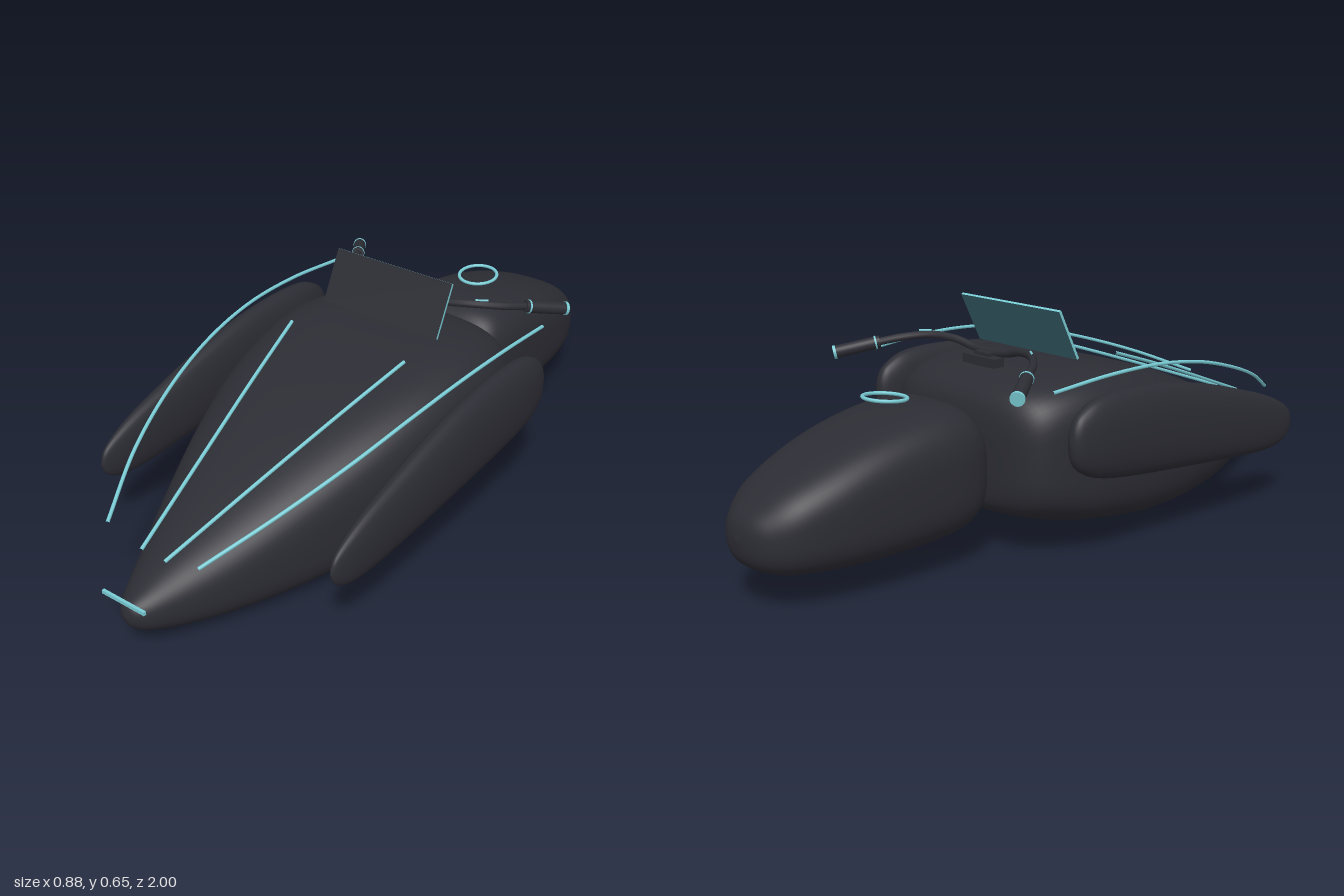
import * as THREE from 'three';
import { mergeVertices } from 'three/addons/utils/BufferGeometryUtils.js';

const paint = (name, color) => Object.assign(new THREE.MeshStandardMaterial({ color }), { name });
const v = (p) => new THREE.Vector3(...p);

// Smooth body skinned over stations [z, halfWidth, bottom, top, squareness], listed back to front
function loft(stations, rows = 72, sides = 56) {
  const spline = (f) => new THREE.CatmullRomCurve3(stations.map((s) => v(f(s))), false, 'catmullrom', 0.5);
  const plan = spline(([z, w, , , n]) => [w, n, z]);
  const profile = spline(([z, , b, t]) => [b, t, z]);
  const pos = [], index = [];
  const bend = (c, n) => Math.sign(c) * Math.abs(c) ** (2 / n);
  for (let i = 0; i <= rows; i++) {
    const a = plan.getPoint(i / rows), b = profile.getPoint(i / rows);
    const mid = (b.x + b.y) / 2, half = Math.max(0, (b.y - b.x) / 2);
    for (let j = 0; j < sides; j++) {
      const t = (j / sides) * Math.PI * 2;
      pos.push(bend(Math.cos(t), a.y) * Math.max(0, a.x), mid + bend(Math.sin(t), a.y) * half, a.z);
      if (i === rows) continue;
      const p = i * sides + j, q = i * sides + (j + 1) % sides;
      index.push(p, q, p + sides, q, q + sides, p + sides);
    }
  }
  const g = new THREE.BufferGeometry();
  g.setAttribute('position', new THREE.Float32BufferAttribute(pos, 3));
  g.setIndex(index);
  const merged = mergeVertices(g, 1e-5);
  merged.computeVertexNormals();
  return merged;
}

const tube = (points, r, segments = 40) =>
  new THREE.TubeGeometry(new THREE.CatmullRomCurve3(points.map(v)), segments, r, 10);

export function createModel() {
  const model = new THREE.Group();
  model.name = 'hoverBike';
  const dark = paint('charcoal', 0x2c2c34);
  const teal = paint('teal', 0x79cbd4);
  const glass = paint('darkTeal', 0x3a6672);

  const add = (name, geometry, material, parent = model) => {
    const mesh = new THREE.Mesh(geometry, material);
    mesh.name = name;
    parent.add(mesh);
    return mesh;
  };

  // Main hull
  add('hull', loft([
    [-0.312, 0, 0.28, 0.28, 3], [-0.308, 0.17, 0.17, 0.39, 3], [-0.285, 0.26, 0.125, 0.445, 3.4],
    [-0.23, 0.312, 0.1, 0.477, 3.8], [-0.12, 0.342, 0.073, 0.497, 4.2], [0, 0.35, 0.052, 0.5, 4.2],
    [0.15, 0.342, 0.03, 0.475, 4.1], [0.3, 0.315, 0.016, 0.435, 3.8], [0.45, 0.273, 0.007, 0.383, 3.4],
    [0.6, 0.22, 0.003, 0.322, 3], [0.75, 0.158, 0.012, 0.256, 2.6], [0.87, 0.1, 0.032, 0.205, 2.3],
    [0.95, 0.058, 0.062, 0.17, 2.2], [0.985, 0.03, 0.088, 0.15, 2], [0.997, 0, 0.12, 0.12, 2],
  ]), dark);

  // Rear seat
  add('seat', loft([
    [-1, 0, 0.19, 0.19, 2.4], [-0.99, 0.055, 0.14, 0.235, 2.4], [-0.96, 0.1, 0.108, 0.268, 2.6],
    [-0.9, 0.143, 0.088, 0.312, 2.8], [-0.8, 0.174, 0.079, 0.358, 3], [-0.68, 0.19, 0.075, 0.4, 3.2],
    [-0.55, 0.199, 0.076, 0.43, 3.2], [-0.44, 0.199, 0.083, 0.441, 3.2], [-0.37, 0.185, 0.102, 0.425, 3.2],
    [-0.33, 0.155, 0.14, 0.38, 3], [-0.317, 0.1, 0.2, 0.32, 2.6], [-0.315, 0, 0.26, 0.26, 2.4],
  ]), dark);

  // Seat ring
  const ring = add('seatRing', new THREE.TorusGeometry(0.058, 0.005, 10, 40), teal);
  ring.position.set(0, 0.462, -0.54);
  ring.rotation.x = -Math.PI / 2 + 0.09;

  // Windscreen: dark front, tinted back, bright rim
  const screen = add('windscreen', new THREE.BoxGeometry(0.394, 0.157, 0.008),
    [teal, teal, teal, teal, dark, glass]);
  screen.position.set(0, 0.585, -0.065);
  screen.rotation.x = -Math.atan(0.5);

  // Nose light bar
  add('noseBar', new THREE.BoxGeometry(0.144, 0.01, 0.008), teal).position.set(0, 0.17, 0.996);

  // Handlebar and its clamp
  const half = [[0.06, 0.53, -0.174], [0.13, 0.546, -0.186], [0.2, 0.551, -0.212],
    [0.26, 0.543, -0.262], [0.31, 0.528, -0.335], [0.36, 0.51, -0.405]];
  const mirror = (pts, s) => pts.map(([x, y, z]) => [s * x, y, z]);
  add('handlebar', tube([...mirror(half, -1).reverse(), [0, 0.526, -0.172], ...half], 0.011, 80), dark);
  add('handlebarClamp', new THREE.BoxGeometry(0.13, 0.025, 0.035), dark).position.set(0, 0.508, -0.2);
  add('handlebarStem', new THREE.BoxGeometry(0.06, 0.04, 0.05), dark).position.set(0, 0.51, -0.18);

  const podShape = loft([
    [-0.262, 0, 0.36, 0.36, 2.2], [-0.252, 0.018, 0.31, 0.405, 2.3], [-0.225, 0.031, 0.278, 0.437, 2.3],
    [-0.16, 0.042, 0.25, 0.465, 2.3], [-0.04, 0.046, 0.23, 0.472, 2.3], [0.12, 0.046, 0.214, 0.46, 2.3],
    [0.28, 0.044, 0.199, 0.428, 2.3], [0.43, 0.038, 0.186, 0.387, 2.3], [0.55, 0.031, 0.179, 0.35, 2.3],
    [0.63, 0.022, 0.186, 0.315, 2.3], [0.675, 0.012, 0.21, 0.284, 2.2], [0.692, 0, 0.247, 0.247, 2],
  ], 60, 32);

  for (const [side, s] of [['left', 1], ['right', -1]]) {
    // Side pod
    add(side + 'Pod', podShape, dark).position.x = s * 0.395;

    // Light strips over the deck and along the flank
    add(side + 'DeckStrip', tube(mirror([[0.04, 0.245, 0.89], [0.1, 0.352, 0.59],
      [0.15, 0.437, 0.345], [0.195, 0.51, 0.12]], s), 0.005), teal);
    add(side + 'FlankStrip', tube(mirror([[0.155, 0.277, 0.89], [0.245, 0.36, 0.7], [0.31, 0.428, 0.5],
      [0.35, 0.48, 0.3], [0.371, 0.508, 0.1], [0.376, 0.511, -0.1], [0.371, 0.497, -0.3]], s), 0.005, 60), teal);

    // Grip with collar and end cap, built along its own axis
    const from = v([s * 0.3, 0.531, -0.32]), to = v([s * 0.373, 0.505, -0.424]);
    const length = from.distanceTo(to);
    const grip = new THREE.Group();
    grip.name = side + 'Grip';
    grip.position.copy(from);
    grip.quaternion.setFromUnitVectors(new THREE.Vector3(0, 1, 0), to.clone().sub(from).normalize());
    model.add(grip);
    const rod = (name, r, h, y, material) =>
      add(name, new THREE.CylinderGeometry(r, r, h, 24), material, grip).position.set(0, y, 0);
    rod('gripSleeve', 0.018, length, length / 2, dark);
    rod('gripCollar', 0.0195, 0.005, 0.012, teal);
    rod('gripCap', 0.0195, 0.008, length, teal);

    // Thin accent where the bar leaves the screen
    const accent = mirror([[0.2, 0.563, -0.212], [0.23, 0.562, -0.234]], s);
    add(side + 'BarAccent', tube(accent, 0.003, 8), teal);
  }
  return model;
}
